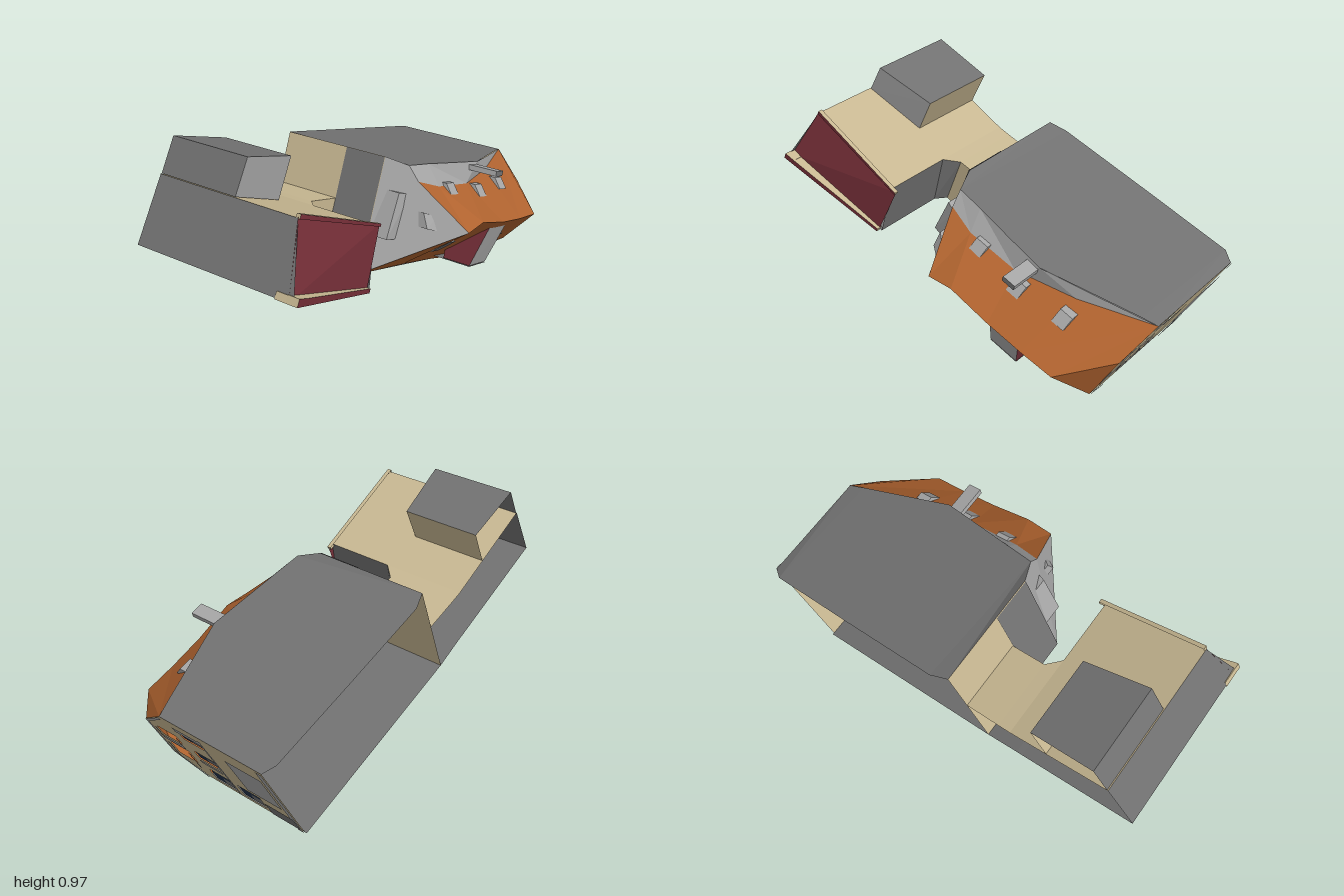
import * as THREE from 'three';

const mat = (name, color) => Object.assign(new THREE.MeshStandardMaterial({ color, side: THREE.DoubleSide }), { name });

export function createModel() {
  const root = new THREE.Group();
  root.name = 'building';
  const M = {
    tan: mat('tan plaster', 0xc8b892), dark: mat('dark grey wall', 0x727272),
    light: mat('light grey trim', 0xa6a6a6), orange: mat('orange tile', 0xb0632f),
    maroon: mat('maroon roof', 0x783039), blue: mat('dark blue glass', 0x22324a),
  };

  // Flat strips and polygons: each face is a convex ring of points
  const faces = (name, m, list, parent = root) => {
    const pos = [];
    for (const f of list)
      for (let i = 1; i < f.length - 1; i++) pos.push(...f[0], ...f[i], ...f[i + 1]);
    const g = new THREE.BufferGeometry();
    g.setAttribute('position', new THREE.Float32BufferAttribute(pos, 3));
    g.computeVertexNormals();
    const mesh = new THREE.Mesh(g, m);
    mesh.name = name;
    parent.add(mesh);
    return mesh;
  };
  // Strip of faces between two rows of points
  const strip = (name, m, a, b) =>
    faces(name, m, a.slice(1).map((p, i) => [[a[i], p, b[i + 1]], [a[i], b[i + 1], b[i]]]).flat());
  // Wall over a plan line, with a top height at each end
  const wall = (name, m, p, q, z0, zp, zq = zp) =>
    faces(name, m, [[[...p, z0], [...q, z0], [...q, zq], [...p, zp]]]);
  // Box over a plan polygon, with a top height at each corner
  const prism = (name, plan, z0, tops, sideMat, topMat) => {
    const g = new THREE.Group();
    g.name = name;
    const n = plan.length;
    faces(name + 'Sides', sideMat, plan.map((p, i) => {
      const j = (i + 1) % n, q = plan[j];
      return [[...p, z0], [...q, z0], [...q, tops[j]], [...p, tops[i]]];
    }), g);
    faces(name + 'Top', topMat, [plan.map((p, i) => [...p, tops[i]])], g);
    root.add(g);
  };
  // Small plan rectangle lined up with the long walls
  const quad = (x, y, w, d) => [[-1, -1], [1, -1], [1, 1], [-1, 1]].map(([a, b]) =>
    [x + a * w / 2 * 0.963 + b * d / 2 * 0.3, y - a * w / 2 * 0.27 + b * d / 2 * 0.954]);

  const base = -0.45;
  const A = [-0.24, 0.28], B = [0.75, 0], C = [0.99, 0.5], D = [-0.04, 0.776];

  // Main house, long walls
  wall('lowerLongWall', M.dark, A, B, base, 0.1);
  const wallTop = [[...D, 0.1], [0, 0.745, 0.2], [0.5, 0.62, 0.255], [...C, 0.1]];
  strip('upperLongWall', M.dark,
    [[...D, base], [0.04, 0.75, -0.475], [0.5, 0.635, -0.475], [0.94, 0.525, -0.472], [...C, -0.44]],
    [wallTop[0], wallTop[1], wallTop[2], [0.92, 0.52, 0.122], wallTop[3]]);

  // Main house, left end wall with a grey upper face
  wall('leftEndWall', M.tan, A, D, base, 0.1);
  wall('leftEndUpperFace', M.dark, [A[0] - 0.004, A[1]], [D[0] - 0.004, D[1]], -0.11, 0.1);

  // Main roof
  const ridge = [[0.07, 0.467, 0.475], [0.2, 0.47, 0.472], [0.4, 0.395, 0.465], [0.58, 0.345, 0.46], [0.74, 0.31, 0.456]];
  const edge = [[0, 0.68, 0.25], [0.13, 0.62, 0.275], [0.38, 0.55, 0.27], [0.66, 0.52, 0.21], [...C, 0.1]];
  const eave = [[...A, 0.1], [0.1, 0.19, 0.105], [0.32, 0.125, 0.105], [0.5, 0.065, 0.105], [...B, 0.1]];
  const hipLow = [0.798, 0.1, 0.26], hipHigh = [0.928, 0.37, 0.26];
  strip('roofUpperSlope', M.orange, ridge, edge);
  strip('roofLowerSlope', M.orange, ridge, eave);
  faces('roofRightHip', M.orange, [[ridge[4], hipLow, hipHigh], [ridge[4], hipHigh, edge[4]], [ridge[4], eave[4], hipLow]]);
  faces('roofLeftHip', M.light, [[eave[0], ridge[0], edge[0]], [eave[0], edge[0], wallTop[1]], [eave[0], wallTop[1], wallTop[0]]]);
  strip('roofValleyStrip', M.light,
    [wallTop[1], [0.13, 0.715, 0.213], wallTop[2], [0.72, 0.565, 0.186], wallTop[3]], edge);

  // Right end wall, drawn in (height y, depth z) and leaned onto the plan line
  const lean = (y, z, out = 0) => [0.75 + 0.48 * y + out, y - 0.48 * out, z];
  const rect = (y0, y1, z0, z1) => [[y0, z0], [y1, z0], [y1, z1], [y0, z1]];
  const panes = [[0.38, 0.435, -0.09, 0.035], [0.22, 0.28, -0.09, 0.035], [0.035, 0.125, -0.09, 0.035], [0.035, 0.125, -0.25, -0.125]];
  const openings = [[0.285, 0.345, 0.1, 0.21], [0.125, 0.22, 0.1, 0.21]];
  const shape = new THREE.Shape([[0, -0.44], [0.5, -0.44], [0.5, 0.1], [0.37, 0.26], [0.1, 0.26], [0, 0.1]]
    .map(p => new THREE.Vector2(...p)));
  for (const r of [...panes, ...openings])
    shape.holes.push(new THREE.Path(rect(...r).map(p => new THREE.Vector2(...p))));
  const endGeo = new THREE.ShapeGeometry(shape);
  const ep = endGeo.attributes.position;
  for (let i = 0; i < ep.count; i++) ep.setXYZ(i, ...lean(ep.getX(i), ep.getY(i)));
  endGeo.computeVertexNormals();
  const end = new THREE.Mesh(endGeo, M.tan);
  end.name = 'rightEndWall';
  root.add(end);
  const plate = (name, m, r, out = 0.005) => faces(name, m, [rect(...r).map(([y, z]) => lean(y, z, out))]);

  // Windows: glass with a grey lower blind, sill and frame
  for (const [y0, y1, z0, z1] of panes) {
    const zm = z0 + (z1 - z0) * 0.55;
    plate('windowGlass', M.blue, [y0, y1, zm, z1], -0.003);
    plate('windowGlassTop', M.blue, [y0 + (y1 - y0) * 0.6, y1, z0, zm], -0.003);
    plate('windowBlind', M.dark, [y0, y0 + (y1 - y0) * 0.6, z0, zm], -0.003);
  }
  plate('topWindowFrame', M.light, [0.437, 0.47, -0.105, 0.045]);
  plate('middleWindowSill', M.light, [0.19, 0.219, -0.09, 0.035]);
  plate('wallPipe', M.light, [0.03, 0.48, -0.115, -0.1]);
  for (const [y0, y1, z0, z1] of openings) {
    plate('openingFrameSide', M.light, [y0 - 0.03, y1, z1, z1 + 0.012]);
    plate('openingFrameEdge', M.light, [y0 - 0.03, y1, z0 - 0.012, z0]);
  }
  plate('openingSill', M.light, [0.25, 0.284, 0.1, 0.21]);
  plate('largeBayPanel', M.light, [0.19, 0.435, -0.41, -0.225], 0.008);
  plate('garagePanel', M.dark, [0.03, 0.125, -0.438, -0.285], 0.007);
  plate('cornerStrip', M.light, [0, 0.5, -0.44, -0.41], 0.004);
  // Verge trim along the lower gable slope
  faces('vergeTrim', M.light, [
    [[0, 0.1], [0.1, 0.26], [0.12, 0.24], [0.015, 0.09]].map(p => lean(...p, 0.004)),
    [[0.1, 0.26], [0.37, 0.26], [0.37, 0.24], [0.12, 0.24]].map(p => lean(...p, 0.004)),
    [[0.37, 0.26], [0.5, 0.1], [0.485, 0.095], [0.37, 0.24]].map(p => lean(...p, 0.004))]);

  // Skylights, chimney and dormer
  for (const [x, y, z] of [[0.2, 0.59, 0.325], [0.43, 0.51, 0.34], [0.66, 0.465, 0.32]])
    prism('upperSkylight', quad(x, y, 0.065, 0.05), z - 0.09, [z, z, z - 0.04, z - 0.04], M.light, M.light);
  for (const [x, y, z] of [[0.13, 0.33, 0.31], [0.56, 0.21, 0.32]])
    prism('lowerSkylight', quad(x, y, 0.065, 0.065), z - 0.07, [z - 0.04, z - 0.04, z + 0.04, z + 0.04], M.light, M.dark);
  prism('chimney', quad(0.457, 0.605, 0.065, 0.025), 0.22, [0.4, 0.4, 0.4, 0.4], M.light, M.dark);
  const dormer = [[0.31, 0.165], [0.46, 0.128], [0.53, 0.33], [0.37, 0.37]];
  prism('dormer', dormer, 0.2, [0.345, 0.345, 0.415, 0.415], M.maroon, M.light);
  wall('dormerFront', M.dark, [0.31, 0.16], [0.46, 0.123], 0.13, 0.345);

  // Boxes on the left hip
  prism('hipWindow', [[-0.17, 0.45], [-0.1, 0.43], [-0.02, 0.62], [-0.075, 0.64]], 0.09, [0.2, 0.21, 0.22, 0.2], M.light, M.light);
  prism('hipSkylight', [[-0.045, 0.49], [0, 0.47], [0.02, 0.53], [-0.03, 0.555]], 0.22, [0.33, 0.36, 0.34, 0.3], M.light, M.light);

  // Left wing: walls and sloping maroon roof
  const W1 = [-0.995, 0.565], W2 = [-0.84, 0.825], W3 = [-0.36, 0.617], W4 = [-0.43, 0.355];
  wall('wingLowerWall', M.dark, W1, W4, base, 0.36, 0.3);
  wall('wingLeftWall', M.dark, W1, W2, base, 0.38, 0.28);
  wall('wingUpperWall', M.tan, W2, W3, base, 0.28);
  wall('wingRightWall', M.dark, W4, W3, -0.05, 0.3, 0.28);
  faces('wingRoof', M.maroon, [[[...W1, 0.355], [-0.84, 0.83, 0.28], [-0.33, 0.61, 0.28], [-0.45, 0.35, 0.3]]]);
  prism('wingUpperParapet', [[-0.84, 0.822], [-0.335, 0.6], [-0.33, 0.612], [-0.832, 0.84]], 0.268, [0.288, 0.288, 0.288, 0.288], M.tan, M.maroon);
  prism('wingLowerParapet', [[-1, 0.562], [-0.45, 0.348], [-0.442, 0.366], [-0.985, 0.59]], 0.29, [0.4, 0.315, 0.315, 0.4], M.tan, M.maroon);
  prism('wingParapetEnd', [[-1, 0.562], [-0.95, 0.545], [-0.935, 0.57], [-0.985, 0.592]], 0.345, [0.4, 0.393, 0.393, 0.4], M.tan, M.maroon);

  // Low corridor joining wing and house
  const K1 = [-0.3, 0.6], K2 = [-0.13, 0.556], K4 = [-0.4, 0.345];
  wall('corridorUpperWall', M.tan, W3, K1, base, -0.05, -0.11);
  wall('corridorUpperWallEnd', M.tan, K1, K2, base, -0.11);
  wall('corridorLowerWall', M.dark, W4, K4, base, -0.05, -0.11);
  wall('corridorLowerWallEnd', M.dark, K4, A, base, -0.11);
  faces('corridorRoof', M.tan, [[[...K4, -0.11], [...A, -0.11], [...K2, -0.11], [...K1, -0.11]]]);
  faces('corridorRoofSlope', M.dark, [[[...W4, -0.05], [...K4, -0.11], [...K1, -0.11], [...W3, -0.05]]]);

  // Annex behind the wing
  const P = [[-0.835, 0.825], [-0.755, 0.965], [-0.46, 0.87], [-0.545, 0.7]], h = [-0.04, -0.04, -0.078, -0.08];
  wall('annexLeftWall', M.dark, P[0], P[1], base, h[0], h[1]);
  wall('annexBackWall', M.dark, P[1], P[2], base, h[1], h[2]);
  wall('annexRightWall', M.tan, P[2], P[3], base, h[2], h[3]);
  faces('annexRoof', M.light, [P.map((p, i) => [...p, h[i]])]);
  return root;
}
